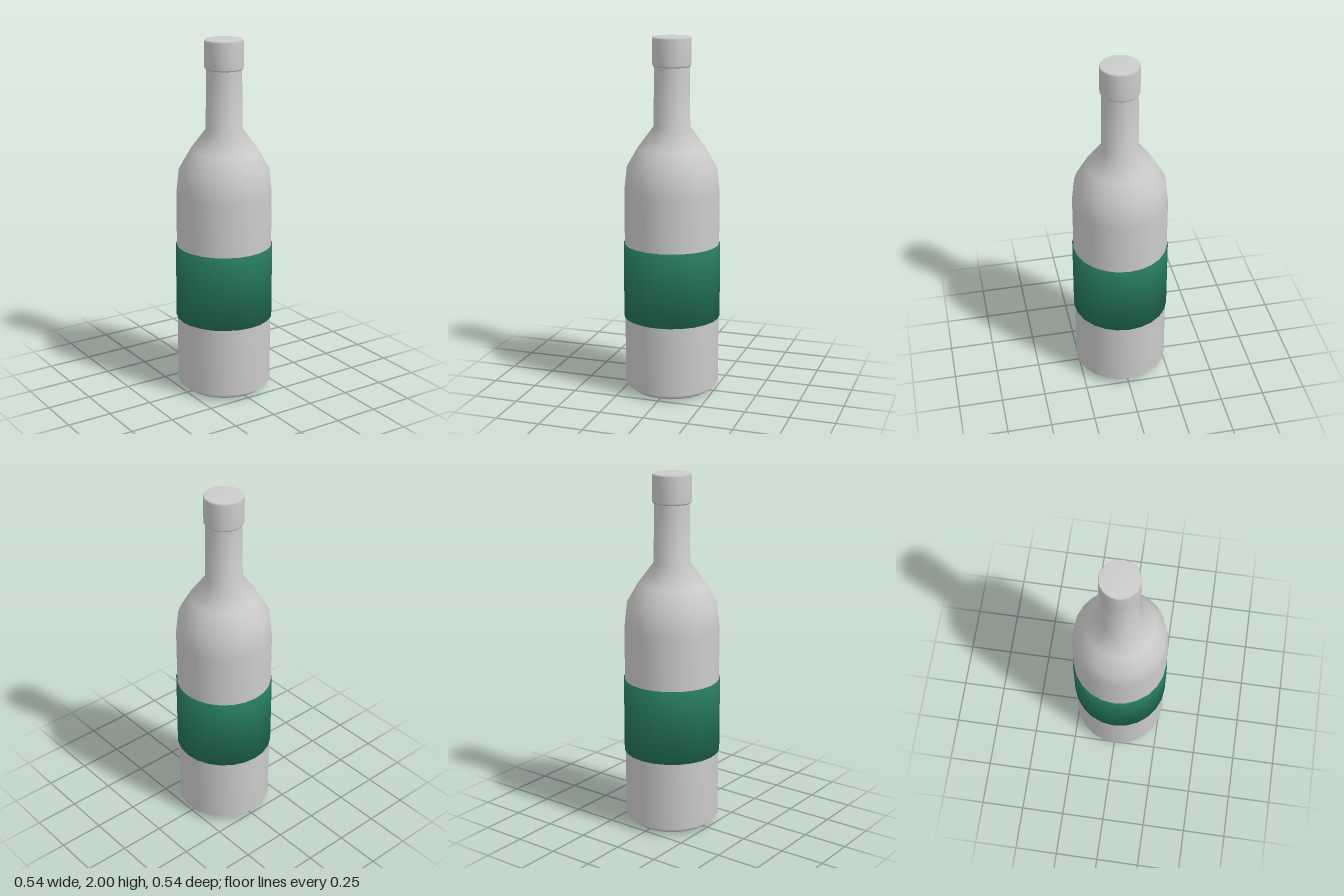
import * as THREE from 'three';

const SIDES = 24;

const glass = new THREE.MeshStandardMaterial({ color: 0xcccccc });
glass.name = 'pale grey';
const green = new THREE.MeshStandardMaterial({ color: 0x24755a });
green.name = 'label green';

// Smooth turned part from a profile of [radius, height] pairs, bottom to top
function turned(name, profile, material) {
  const points = profile.map(([r, y]) => new THREE.Vector2(r, y));
  const mesh = new THREE.Mesh(new THREE.LatheGeometry(points, SIDES), material);
  mesh.name = name;
  return mesh;
}

export function createModel() {
  const group = new THREE.Group();
  group.name = 'bottle';

  // Chamfered base, straight wall, sloping shoulder and slim neck
  group.add(turned('body', [
    [0, 0], [0.22, 0.003], [0.265, 0.04], [0.265, 1.15],
    [0.25, 1.285], [0.187, 1.395], [0.101, 1.51], [0.097, 1.85],
  ], glass));

  // Band around the body, closed at both ends for soft edges
  group.add(turned('label', [
    [0, 0.432], [0.271, 0.432], [0.271, 0.853], [0, 0.853],
  ], green));

  // Cap with narrow bevels
  group.add(turned('cap', [
    [0, 1.838], [0.1, 1.838], [0.107, 1.848], [0.107, 1.99], [0.102, 2], [0, 2],
  ], glass));

  return group;
}
